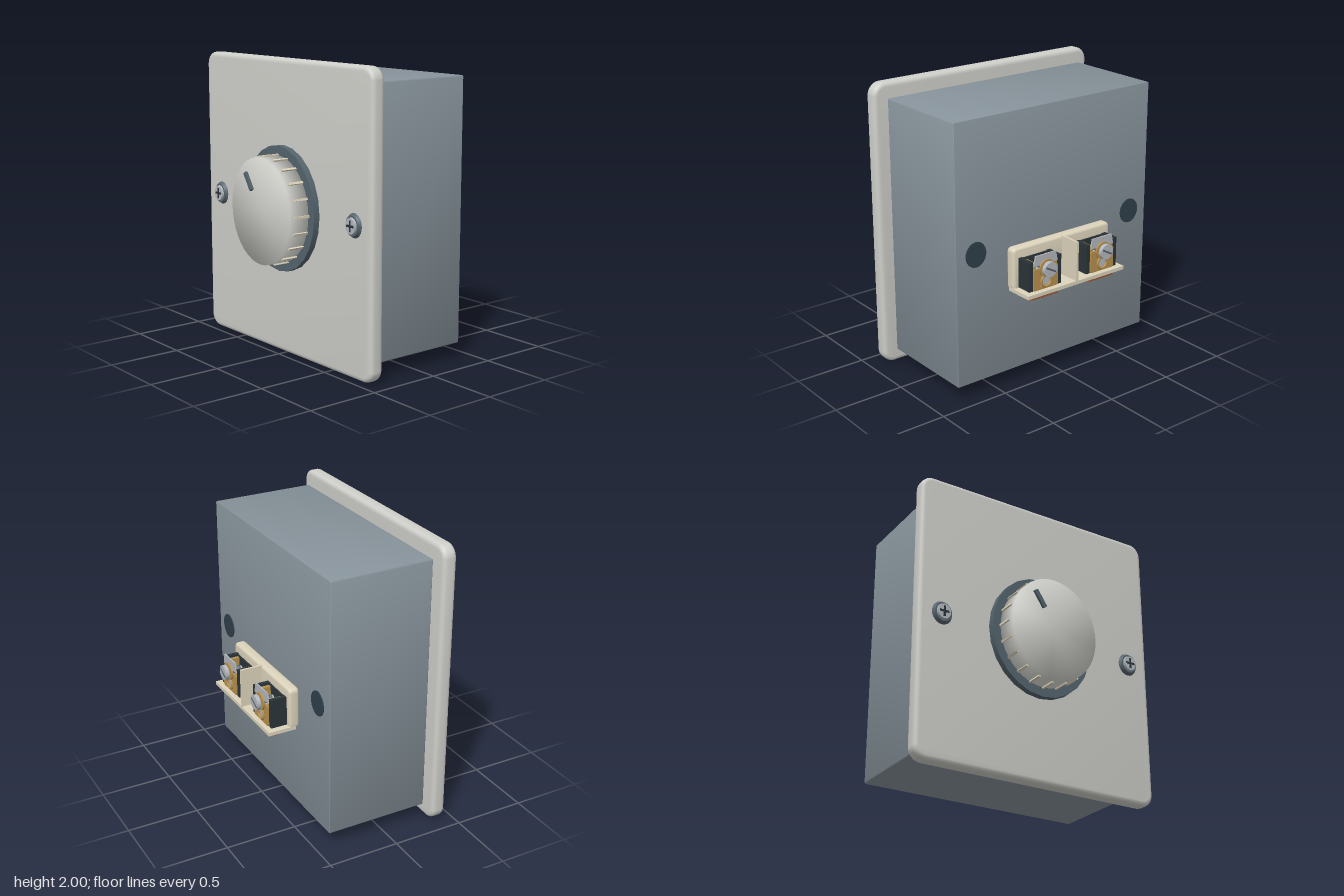
import * as THREE from 'three';
import { mergeVertices, toCreasedNormals } from 'three/addons/utils/BufferGeometryUtils.js';

const mat = (color) => new THREE.MeshStandardMaterial({ color });
const ivory = mat(0xcfcfca), slate = mat(0x87939b), darkSlate = mat(0x56656e), black = mat(0x2b3438);
const cream = mat(0xddd4bc), brass = mat(0xb8924e), steel = mat(0xb4b9bf), copper = mat(0x9a5836), deepSlate = mat(0x2f404b);

function add(parent, name, geometry, material, x = 0, y = 0, z = 0) {
  const mesh = new THREE.Mesh(geometry, material);
  mesh.name = name;
  mesh.position.set(x, y, z);
  parent.add(mesh);
  return mesh;
}

function group(parent, name, x = 0, y = 0, z = 0) {
  const g = new THREE.Group();
  g.name = name;
  g.position.set(x, y, z);
  parent.add(g);
  return g;
}

const box = (w, h, d) => new THREE.BoxGeometry(w, h, d);

// Disc along z, centred on its depth
const disc = (rFront, rBack, depth, sides = 24) =>
  new THREE.CylinderGeometry(rFront, rBack, depth, sides).rotateX(Math.PI / 2);

// Rounded rectangle outline
function roundedRect(w, h, r) {
  const s = new THREE.Shape(), x = w / 2, y = h / 2;
  s.absarc(x - r, y - r, r, 0, Math.PI / 2);
  s.absarc(-x + r, y - r, r, Math.PI / 2, Math.PI);
  s.absarc(-x + r, -y + r, r, Math.PI, Math.PI * 1.5);
  s.absarc(x - r, -y + r, r, Math.PI * 1.5, Math.PI * 2);
  return s;
}

// Slab with rounded corners and softened edges, centred on its depth
function slab(w, h, d, r, bevel) {
  const g = new THREE.ExtrudeGeometry(roundedRect(w - 2 * bevel, h - 2 * bevel, r - bevel), {
    depth: d - 2 * bevel, bevelEnabled: true, bevelSize: bevel, bevelThickness: bevel,
    bevelSegments: 4, curveSegments: 8,
  });
  g.translate(0, 0, -(d - 2 * bevel) / 2);
  return toCreasedNormals(g, 0.6);
}

// Cylinder whose rim is shaded softly into the face
function softDisc(r, depth) {
  const g = disc(r, r, depth, 40);
  g.deleteAttribute('normal');
  g.deleteAttribute('uv');
  const soft = mergeVertices(g);
  soft.computeVertexNormals();
  return soft;
}

function buildDial(root) {
  const dial = group(root, 'dial', 0, 1.005, 0);
  const rx = 0.325, ry = 0.36;
  add(dial, 'dialRing', disc(1, 1, 0.045), darkSlate, 0, 0, 0.467).scale.set(0.385, 0.425, 1);
  add(dial, 'knob', softDisc(1, 0.15), ivory, 0, 0, 0.563).scale.set(rx, ry, 1);
  // Grip ribs
  for (let i = 0; i < 20; i++) {
    const a = (i * Math.PI) / 10;
    const rib = add(dial, 'gripRib', box(0.02, 0.016, 0.115), cream,
      Math.cos(a) * rx, Math.sin(a) * ry, 0.547);
    rib.rotation.z = a;
  }
  add(dial, 'pointer', box(0.03, 0.13, 0.025), darkSlate, -0.118, 0.187, 0.643).rotation.z = 0.58;
}

function buildPlateScrew(root, x) {
  const screw = group(root, 'plateScrew', x, 1.005, 0.445);
  screw.scale.y = 1.1;
  add(screw, 'screwWasher', disc(0.06, 0.073, 0.022), darkSlate, 0, 0, 0.011);
  add(screw, 'screwHead', disc(0.047, 0.055, 0.035), steel, 0, 0, 0.0175);
  add(screw, 'crossSlot', box(0.068, 0.014, 0.004), black, 0, 0, 0.035);
  add(screw, 'crossSlot', box(0.014, 0.068, 0.004), black, 0, 0, 0.035);
}

function buildTerminal(root, x) {
  const t = group(root, 'terminal', x, 0, 0);
  // Insulating and brass cheeks
  for (const s of [-1, 1]) {
    add(t, 'insulatorCheek', box(0.03, 0.205, 0.115), black, s * 0.118, 0.832, -0.54);
    add(t, 'brassCheek', box(0.025, 0.19, 0.11), brass, s * 0.088, 0.825, -0.54);
  }
  add(t, 'insulatorBack', box(0.22, 0.2, 0.012), black, 0, 0.83, -0.488);
  add(t, 'clampBlock', box(0.15, 0.13, 0.105), steel, 0, 0.795, -0.54);

  // Brass front plate with a wire arch
  const face = roundedRect(0.2, 0.15, 0.01);
  const arch = new THREE.Path();
  arch.moveTo(-0.045, -0.055);
  arch.lineTo(0.045, -0.055);
  arch.lineTo(0.045, -0.02);
  arch.absarc(0, -0.02, 0.045, 0, Math.PI);
  arch.lineTo(-0.045, -0.055);
  face.holes.push(arch);
  add(t, 'brassFace', new THREE.ExtrudeGeometry(face, { depth: 0.01, bevelEnabled: false }), brass, 0, 0.805, -0.605);
  add(t, 'wireLoop', new THREE.TorusGeometry(0.04, 0.009, 8, 24), brass, 0, 0.785, -0.606);

  // Sloping tab above the screw
  const tab = new THREE.Shape([
    new THREE.Vector2(-0.1, 0), new THREE.Vector2(0.1, 0),
    new THREE.Vector2(0.085, 0.07), new THREE.Vector2(-0.085, 0.07),
  ]);
  add(t, 'markerTab', new THREE.ExtrudeGeometry(tab, { depth: 0.01, bevelEnabled: false }), steel, 0, 0.9, -0.602);

  // Binding screw with thread
  const screw = group(t, 'bindingScrew', 0, 0.875, 0);
  add(screw, 'screwShaft', disc(0.022, 0.022, 0.12, 16), steel, 0, 0, -0.575);
  for (let i = 0; i < 5; i++) {
    add(screw, 'screwThread', new THREE.TorusGeometry(0.022, 0.005, 6, 16), darkSlate, 0, 0, -0.532 - i * 0.013);
  }
  add(screw, 'screwCollar', disc(0.06, 0.06, 0.012), brass, 0, 0, -0.611);
  add(screw, 'screwHead', disc(0.052, 0.052, 0.028), steel, 0, 0, -0.641);
  add(screw, 'screwSlot', box(0.09, 0.012, 0.004), darkSlate, 0, 0, -0.655).rotation.z = 0.5;

  // Wire entry below the shelf
  const entry = roundedRect(0.25, 0.066, 0.03);
  entry.holes.push(roundedRect(0.2, 0.036, 0.016));
  const rim = new THREE.ExtrudeGeometry(entry, { depth: 0.04, bevelEnabled: false, curveSegments: 6 });
  add(t, 'wireEntry', toCreasedNormals(rim.rotateX(Math.PI / 2), 0.6), copper, 0, 0.705, -0.563);
  add(t, 'wireEntryFloor', box(0.22, 0.006, 0.05), copper, 0, 0.694, -0.563);
}

export function createModel() {
  const root = new THREE.Group();
  root.name = 'wallDial';

  add(root, 'facePlate', slab(1.81, 2, 0.1, 0.09, 0.03), ivory, 0, 1, 0.395);
  add(root, 'rearBox', slab(1.63, 1.8, 0.73, 0.01, 0.006), slate, 0, 1, -0.04);
  buildDial(root);

  // Terminal carrier: backing, shelf and divider
  const carrier = group(root, 'terminalCarrier');
  add(carrier, 'backing', slab(0.83, 0.295, 0.075, 0.03, 0.02), cream, 0, 0.853, -0.445);
  add(carrier, 'shelf', box(0.83, 0.025, 0.2), cream, 0, 0.7125, -0.535);
  add(carrier, 'divider', box(0.016, 0.29, 0.165), cream, 0, 0.855, -0.5525);

  for (const s of [-1, 1]) {
    buildPlateScrew(root, s * 0.735);
    buildTerminal(carrier, s * 0.243);
    add(root, 'mountingHole', disc(0.08, 0.08, 0.012), deepSlate, s * 0.66, 1.005, -0.406).scale.y = 1.08;
  }
  return root;
}
